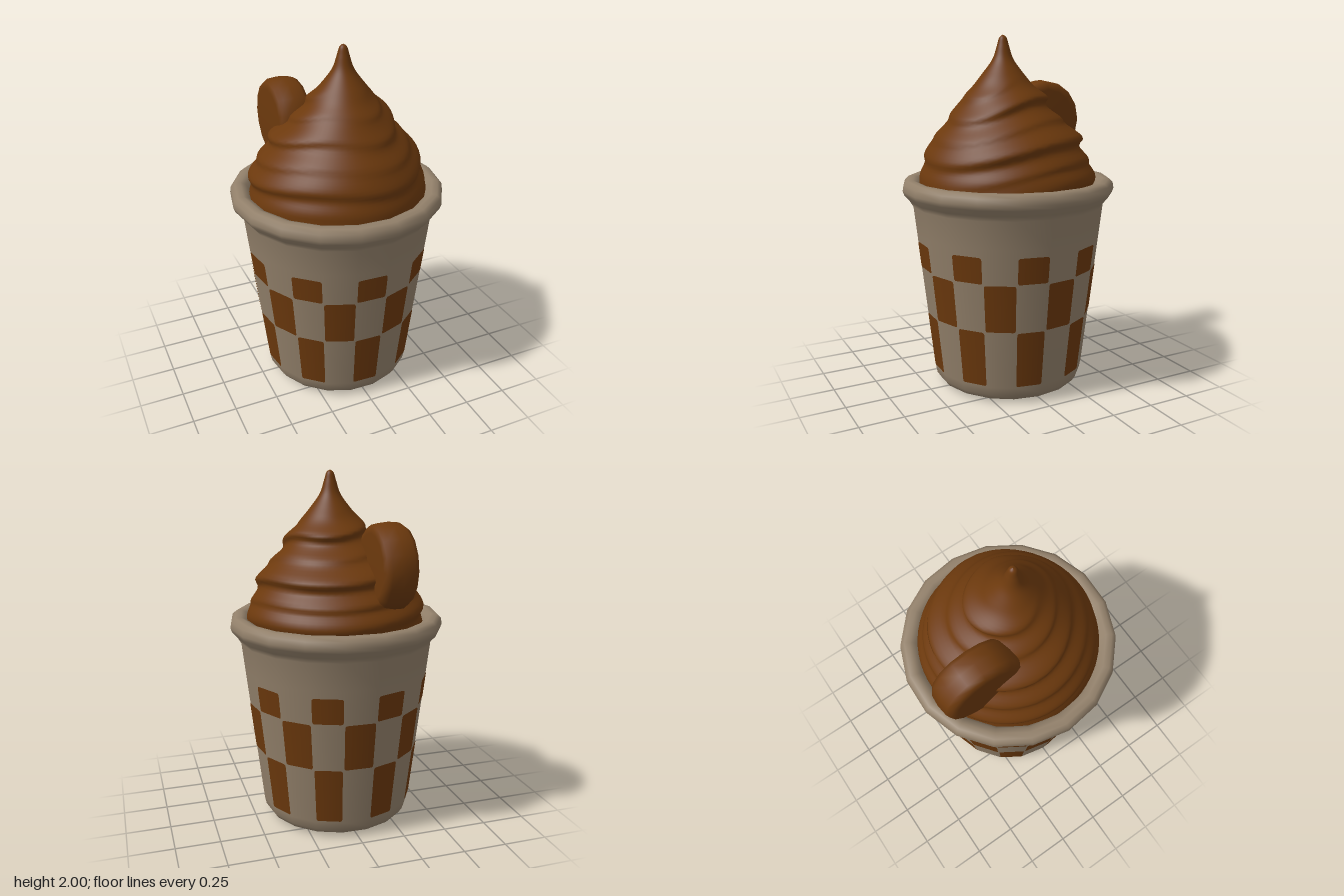
import * as THREE from 'three';

const SIDES = 18;
const STEP = (Math.PI * 2) / SIDES;
const START = -STEP / 2 - 0.035; // cup facets turned slightly off the front

const paper = new THREE.MeshStandardMaterial({ color: 0x92806a });
paper.name = 'paper beige';
const cocoa = new THREE.MeshStandardMaterial({ color: 0x6c390d });
cocoa.name = 'cocoa brown';

const v2 = (list) => list.map(([x, y]) => new THREE.Vector2(x, y));
const wallRadius = (y) => 0.437 + (y - 0.08) * 0.113;

function addMesh(parent, name, geometry, material) {
  const mesh = new THREE.Mesh(geometry, material);
  mesh.name = name;
  parent.add(mesh);
  return mesh;
}

// Tapered cup with a rounded foot and a rolled rim
function cupGeometry() {
  const profile = v2([
    [0, 0], [0.34, 0], [0.375, 0.006], [0.41, 0.025], [0.43, 0.055], [wallRadius(0.1), 0.1],
    [wallRadius(0.4), 0.4], [wallRadius(0.9), 0.9], [wallRadius(1.06), 1.06],
    [0.566, 1.09], [0.597, 1.125], [0.606, 1.15], [0.6, 1.185], [0.578, 1.205],
    [0.545, 1.207], [0.515, 1.195], [0.495, 1.16], [0.48, 1.1],
  ]);
  return new THREE.LatheGeometry(profile, SIDES, START);
}

// Rounded rectangle laid flat on one facet of the cup wall; w is half its width in facets
function checkGeometry(column, y0, y1, w) {
  const rx = 0.08, ry = 0.014;
  const s = new THREE.Shape();
  s.moveTo(-w + rx, y0);
  s.lineTo(w - rx, y0);
  s.quadraticCurveTo(w, y0, w, y0 + ry);
  s.lineTo(w, y1 - ry);
  s.quadraticCurveTo(w, y1, w - rx, y1);
  s.lineTo(-w + rx, y1);
  s.quadraticCurveTo(-w, y1, -w, y1 - ry);
  s.lineTo(-w, y0 + ry);
  s.quadraticCurveTo(-w, y0, -w + rx, y0);
  const geo = new THREE.ShapeGeometry(s, 3);
  const pos = geo.attributes.position, nor = geo.attributes.normal;
  const mid = START + (column + 0.5) * STEP;
  for (let i = 0; i < pos.count; i++) {
    const u = pos.getX(i), y = pos.getY(i);
    const r = wallRadius(y) + 0.003;
    const out = r * Math.cos(STEP / 2), side = 2 * u * r * Math.sin(STEP / 2);
    pos.setXYZ(i,
      Math.sin(mid) * out + Math.cos(mid) * side, y,
      Math.cos(mid) * out - Math.sin(mid) * side);
    const a = mid + u * STEP;
    nor.setXYZ(i, Math.sin(a) * 0.994, -0.112, Math.cos(a) * 0.994);
  }
  return geo;
}

// Rounded step: drops slowly from 1 to -1, then climbs back over the last third
function fold(turns) {
  const t = turns - Math.floor(turns);
  return t < 0.68 ? Math.cos((t / 0.68) * Math.PI) : -Math.cos(((t - 0.68) / 0.32) * Math.PI);
}

// Soft-serve mound: a peaked profile with soft uneven folds winding up it
function swirlGeometry() {
  const curve = new THREE.SplineCurve(v2([
    [0.502, 1.15], [0.492, 1.24], [0.465, 1.32], [0.428, 1.41], [0.36, 1.5], [0.287, 1.58],
    [0.238, 1.65], [0.175, 1.72], [0.108, 1.8], [0.058, 1.87], [0.034, 1.94],
    [0.02, 1.985], [0.001, 2],
  ]));
  const cols = 64, rows = 64, pitch = 0.23;
  const verts = [], index = [];
  for (let j = 0; j <= rows; j++) {
    const p = curve.getPoint(j / rows);
    const fade = 1 - THREE.MathUtils.smoothstep(p.y, 1.62, 1.8);
    const low = 0.4 + 0.6 * THREE.MathUtils.smoothstep(p.y, 1.18, 1.34);
    const lean = THREE.MathUtils.smoothstep(p.y, 1.3, 1.8);
    for (let i = 0; i < cols; i++) {
      const a = (i / cols) * Math.PI * 2;
      const wave = 0.1 * Math.sin(a * 2 + 0.6) + 0.05 * Math.sin(a * 3);
      const turns = (p.y - 1.64) / pitch - (a - Math.PI / 2) / (Math.PI * 2) + wave;
      // Folds flatten towards the front
      const depth = fade * low * (0.75 - 0.35 * Math.cos(a));
      const r = p.x + depth * (0.016 * fold(turns) + 0.011 * fold(turns * 2 + 0.1));
      verts.push(Math.sin(a) * r + 0.02 * lean, p.y, Math.cos(a) * r + 0.008 + 0.032 * lean);
      if (j < rows) {
        const b = j * cols + i, c = j * cols + ((i + 1) % cols);
        index.push(b, c, c + cols, b, c + cols, b + cols);
      }
    }
  }
  const geo = new THREE.BufferGeometry();
  geo.setAttribute('position', new THREE.Float32BufferAttribute(verts, 3));
  geo.setIndex(index);
  geo.computeVertexNormals();
  return geo;
}

// Thick round biscuit with softened edges
function biscuitGeometry() {
  const profile = v2([
    [0, -0.096], [0.18, -0.096], [0.213, -0.087], [0.23, -0.062], [0.236, 0],
    [0.23, 0.062], [0.213, 0.087], [0.18, 0.096], [0, 0.096],
  ]);
  return new THREE.LatheGeometry(profile, 16).rotateZ(Math.PI / 2);
}

export function createModel() {
  const model = new THREE.Group();
  model.name = 'dessertCup';

  addMesh(model, 'cup', cupGeometry(), paper);

  // Checker bands, alternating columns from row to row
  const checks = new THREE.Group();
  checks.name = 'checkerPattern';
  model.add(checks);
  [[0.11, 0.432, 0.465], [0.437, 0.705, 0.485], [0.712, 0.86, 0.47]].forEach(([y0, y1, w], row) => {
    for (let c = row % 2; c < SIDES; c += 2) {
      addMesh(checks, 'check', checkGeometry(c, y0, y1, w), cocoa);
    }
  });

  addMesh(model, 'iceCreamSwirl', swirlGeometry(), cocoa);

  const biscuit = addMesh(model, 'biscuit', biscuitGeometry(), cocoa);
  biscuit.position.set(-0.187, 1.51, -0.32);
  biscuit.rotation.y = 0.02;

  return model;
}
